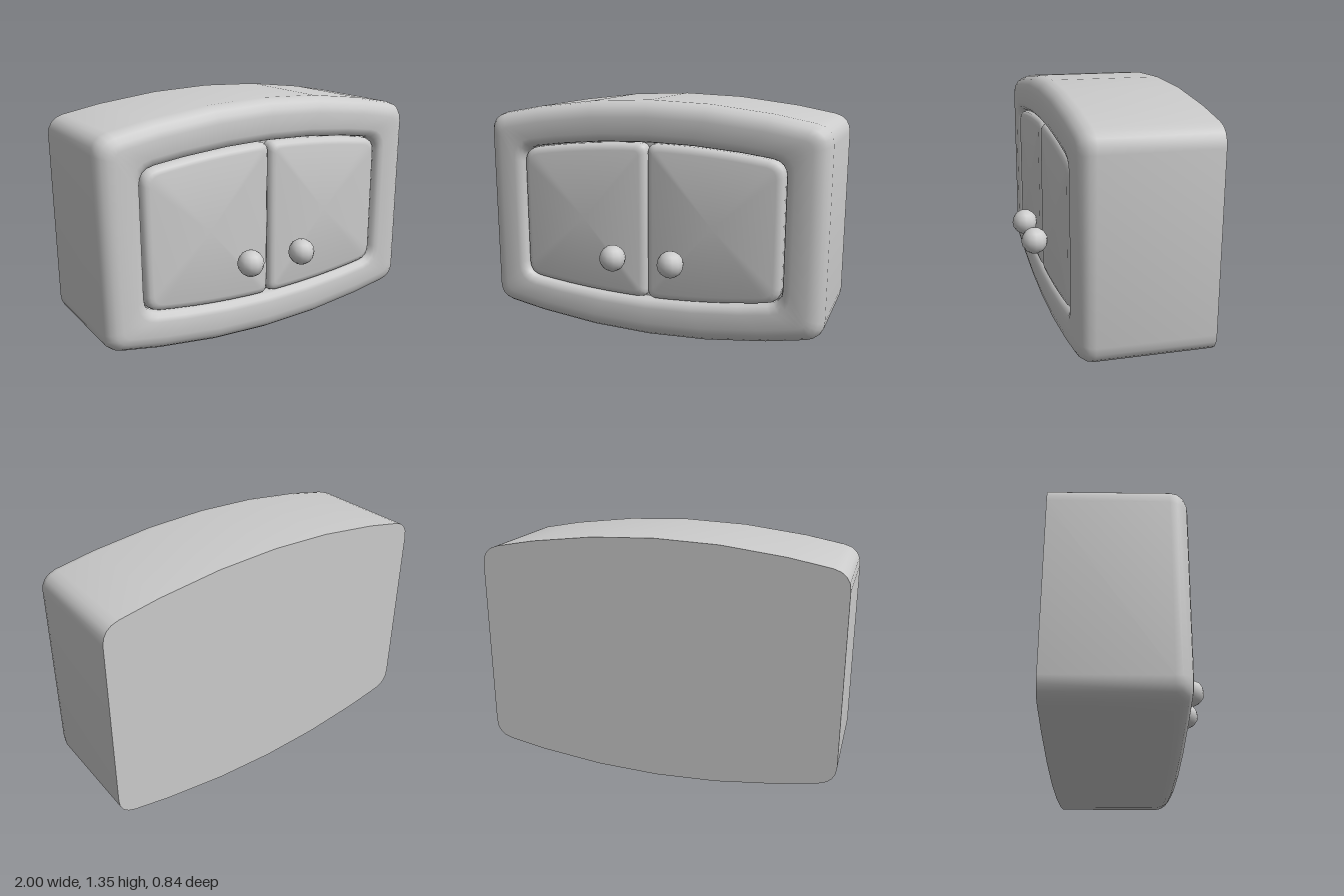
import * as THREE from 'three';
import { toCreasedNormals } from 'three/addons/utils/BufferGeometryUtils.js';

const MID_Y = 0.677;
const STEPS = [0, 0.12, 0.31, 0.5, 0.69, 0.88, 1];

// Counter-clockwise barrel outline: bowed top and bottom, straight sides, rounded corners.
// The top edge follows y = h - k * x * x; d insets the whole outline.
function outline({ x0, x1, h, k, r0, r1 }, d) {
  const a = x0 + d, b = x1 - d;
  const ra = Math.max(r0 - d * 0.5, 0.02), rb = Math.max(r1 - d * 0.5, 0.02);
  const top = (x) => h - d - k * x * x;
  const corner = (x, inner, r) => new THREE.QuadraticBezierCurve(
    new THREE.Vector2(inner, top(inner)),
    new THREE.Vector2(x, top(x)),
    new THREE.Vector2(x, top(x) - r)).getPoints(4);
  const upper = [
    ...corner(b, b - rb, rb).reverse(),
    ...STEPS.slice(1, -1).map((t) => {
      const x = THREE.MathUtils.lerp(b - rb, a + ra, t);
      return new THREE.Vector2(x, top(x));
    }),
    ...corner(a, a + ra, ra),
  ];
  const lower = upper.map((p) => new THREE.Vector2(p.x, -p.y)).reverse();
  return [...upper, ...lower];
}

// Stitches a stack of rings from back to front and caps both ends.
function loft(rings) {
  const pos = [], index = [];
  const n = rings[0].points.length;
  for (const { points, z } of rings) for (const p of points) pos.push(p.x, p.y, z);
  for (let i = 0; i < rings.length - 1; i++) {
    for (let j = 0; j < n; j++) {
      const a = i * n + j, b = i * n + (j + 1) % n;
      index.push(a, b, b + n, a, b + n, a + n);
    }
  }
  const cap = (ring, flip) => {
    const { points, z } = rings[ring];
    const xs = points.map((p) => p.x);
    const c = pos.length / 3;
    pos.push((Math.min(...xs) + Math.max(...xs)) / 2, 0, z);
    for (let j = 0; j < n; j++) {
      const a = ring * n + j, b = ring * n + (j + 1) % n;
      if (flip) index.push(c, b, a);
      else index.push(c, a, b);
    }
  };
  cap(0, true);
  cap(rings.length - 1, false);
  const g = new THREE.BufferGeometry();
  g.setAttribute('position', new THREE.Float32BufferAttribute(pos, 3));
  g.setIndex(index);
  return toCreasedNormals(g, 0.75);
}

// Rings of a quarter-round edge that ends at the given front z.
function roundedEdge(spec, radius, front, steps) {
  const rings = [];
  for (let i = 0; i <= steps; i++) {
    const t = (i / steps) * Math.PI / 2;
    rings.push({
      points: outline(spec, radius * (1 - Math.cos(t))),
      z: front - radius * (1 - Math.sin(t)),
    });
  }
  return rings;
}

export function createModel() {
  const model = new THREE.Group();
  model.name = 'cabinet';
  const material = new THREE.MeshStandardMaterial({ color: 0xcccccc });
  const add = (name, geometry, x, y, z) => {
    const mesh = new THREE.Mesh(geometry, material);
    mesh.name = name;
    mesh.position.set(x, y, z);
    model.add(mesh);
  };

  // Body: flat back, rounded front rim, rounded lip into a shallow recess
  const body = { x0: -1, x1: 1, h: MID_Y, k: 0.115, r0: 0.09, r1: 0.09 };
  const opening = { x0: -0.775, x1: 0.775, h: 0.448, k: 0.11, r0: 0.08, r1: 0.08 };
  const lip = roundedEdge(opening, -0.05, 0.285, 3).reverse().map(({ points }, i) => ({
    points,
    z: 0.235 + 0.05 * Math.cos((i / 3) * Math.PI / 2),
  }));
  // The lip widens towards the front face
  for (let i = 0; i <= 3; i++) {
    lip[i].points = outline(opening, -0.05 * (1 - Math.sin((i / 3) * Math.PI / 2)));
  }
  add('body', loft([
    { points: outline(body, 0), z: -0.42 },
    ...roundedEdge(body, 0.09, 0.285, 4),
    ...lip,
    { points: outline(opening, 0), z: 0.2 },
  ]), 0, MID_Y, 0);

  // Pair of doors with round knobs near the centre
  for (const [side, s] of [['left', 1], ['right', -1]]) {
    const door = s > 0
      ? { x0: 0.002, x1: 0.767, h: 0.443, k: 0.11, r0: 0.05, r1: 0.075 }
      : { x0: -0.767, x1: -0.002, h: 0.443, k: 0.11, r0: 0.075, r1: 0.05 };
    add(side + 'Door', loft([
      { points: outline(door, 0), z: 0.19 },
      ...roundedEdge(door, 0.04, 0.277, 3),
    ]), 0, MID_Y, 0);
    add(side + 'Knob', new THREE.SphereGeometry(0.075, 12, 8), s * 0.173, 0.477, 0.347);
  }
  return model;
}
